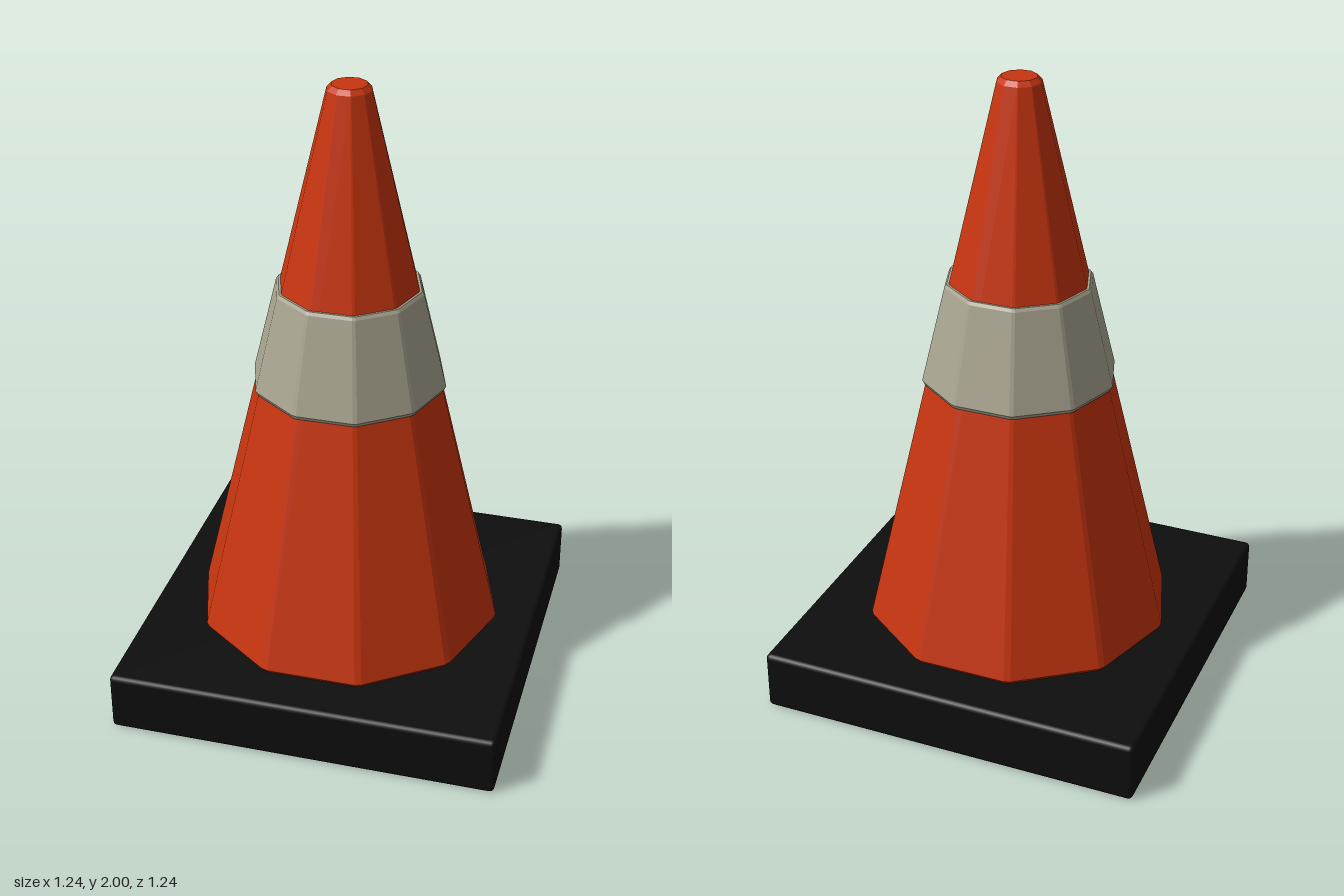
import * as THREE from 'three';
import { RoundedBoxGeometry } from 'three/addons/geometries/RoundedBoxGeometry.js';

const SIDES = 10;
const CHAMFER = 0.022; // half angle of the narrow bevel on each upright edge

// Stack of ten-sided rings with bevelled corners; profile is [radius, y] from bottom to top.
function facetedLoft(profile) {
  const angles = [];
  for (let i = 0; i < SIDES; i++) {
    const a = (i / SIDES) * Math.PI * 2;
    angles.push(a - CHAMFER, a + CHAMFER);
  }
  const n = angles.length;
  const positions = [];
  const indices = [];
  for (const [r, y] of profile) {
    for (const a of angles) positions.push(r * Math.cos(a), y, -r * Math.sin(a));
  }
  for (let k = 0; k < profile.length - 1; k++) {
    for (let i = 0; i < n; i++) {
      const j = (i + 1) % n;
      const a = k * n + i, b = k * n + j;
      indices.push(a, b, b + n, a, b + n, a + n);
    }
  }
  const indexed = new THREE.BufferGeometry();
  indexed.setAttribute('position', new THREE.Float32BufferAttribute(positions, 3));
  indexed.setIndex(indices);
  const geometry = indexed.toNonIndexed();
  geometry.computeVertexNormals();
  return geometry;
}

export function createModel() {
  const material = (name, color) => {
    const m = new THREE.MeshStandardMaterial({ color });
    m.name = name;
    return m;
  };
  const orange = material('orange', 0xc8350f);
  const grey = material('warm grey', 0xaaa591);
  const black = material('black', 0x0e0e0e);

  const model = new THREE.Group();
  model.name = 'trafficCone';
  const add = (name, geometry, mat) => {
    const mesh = new THREE.Mesh(geometry, mat);
    mesh.name = name;
    model.add(mesh);
    return mesh;
  };

  // Square rubber foot with softened edges
  add('base', new RoundedBoxGeometry(1.24, 0.195, 1.24, 2, 0.015), black).position.y = 0.0975;

  // Tapered body, closed at both ends
  add('cone', facetedLoft([
    [0, 0.197], [0.487, 0.197], [0.495, 0.208], [0.069, 1.985], [0.055, 2], [0, 2],
  ]), orange);

  // Raised collar around the body
  add('band', facetedLoft([
    [0.28, 1.03], [0.302, 1.03], [0.308, 1.042], [0.233, 1.35], [0.226, 1.36], [0.2, 1.36],
  ]), grey);

  return model;
}
